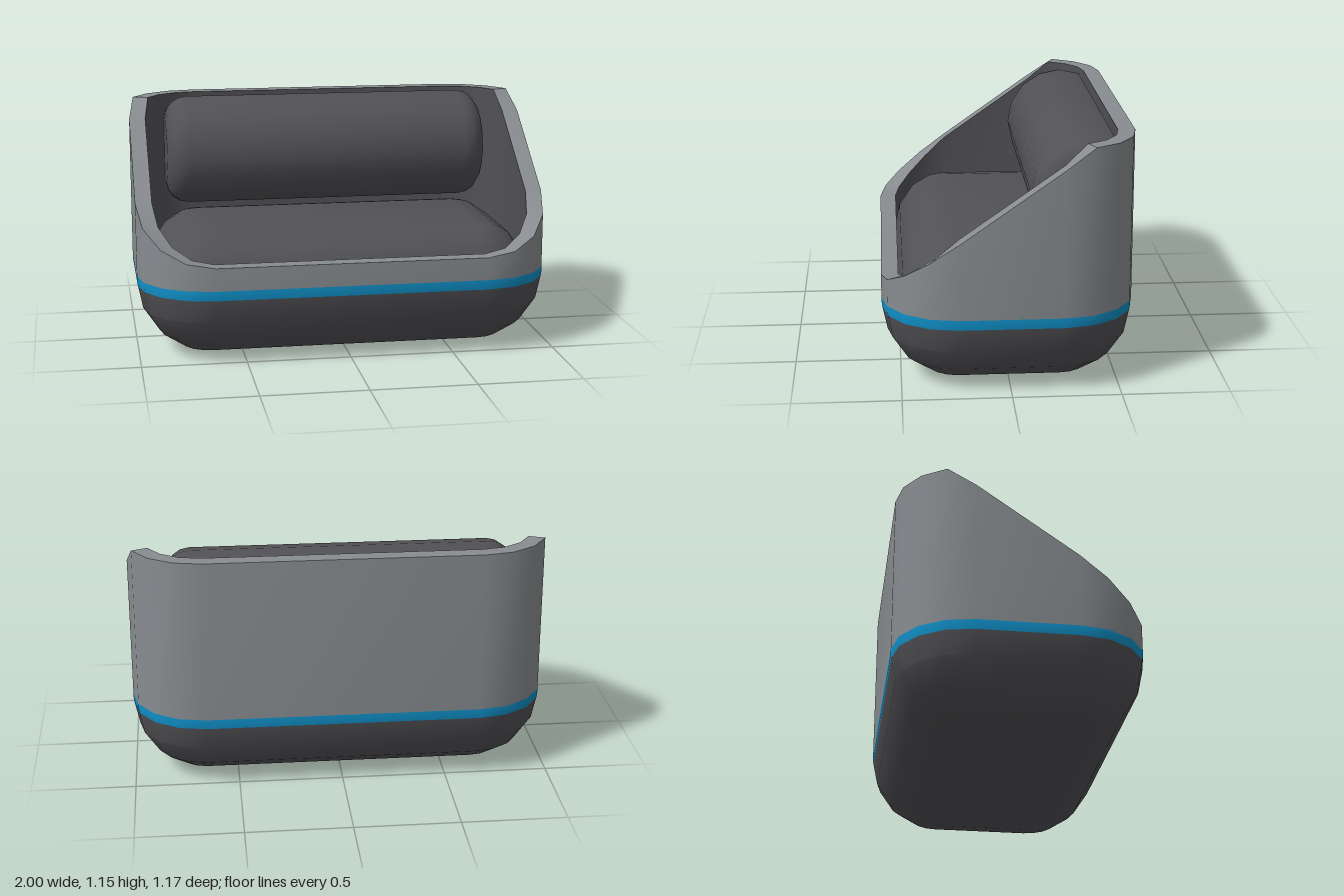
import * as THREE from 'three';
import { toCreasedNormals } from 'three/addons/utils/BufferGeometryUtils.js';

const HX = 1, HZ = 0.585, R = 0.35, STEPS = 4;
const WALL = 0.08, TOP = 1.155;

const shellGrey = new THREE.MeshStandardMaterial({ name: 'shell grey', color: 0x888c90 });
const darkFabric = new THREE.MeshStandardMaterial({ name: 'dark fabric', color: 0x525155 });
const stripeBlue = new THREE.MeshStandardMaterial({ name: 'stripe blue', color: 0x1090c8 });

// Rounded rectangle in plan, pulled in by inset, at height y (number or list per point)
function ring(inset, y) {
  const points = [];
  const r = Math.max(R - inset, 0);
  for (let c = 0; c < 4; c++) {
    const sx = c === 0 || c === 3 ? 1 : -1;
    const sz = c < 2 ? 1 : -1;
    for (let s = 0; s <= STEPS; s++) {
      const a = (c + s / STEPS) * Math.PI / 2;
      const h = Array.isArray(y) ? y[points.length] : y;
      points.push(new THREE.Vector3(sx * (HX - R) + r * Math.cos(a), h, sz * (HZ - R) + r * Math.sin(a)));
    }
  }
  return points;
}

// All points at the centre, closing a loft with a cap
const centre = (y) => ring(R, y).map(() => new THREE.Vector3(0, y, 0));

// Skin through successive rings; bottom to top faces outwards
function loft(rings) {
  const n = rings[0].length;
  const index = [];
  for (let k = 0; k < rings.length - 1; k++) {
    for (let i = 0; i < n; i++) {
      const j = (i + 1) % n;
      const a = k * n + i, b = k * n + j;
      index.push(a, a + n, b, b, a + n, b + n);
    }
  }
  const g = new THREE.BufferGeometry().setFromPoints(rings.flat());
  g.setIndex(index);
  return toCreasedNormals(g, 0.5);
}

export function createModel() {
  const model = new THREE.Group();
  model.name = 'sofa';
  const add = (name, geometry, material) => {
    const mesh = new THREE.Mesh(geometry, material);
    mesh.name = name;
    model.add(mesh);
  };

  // Rounded base
  const base = [centre(0)];
  for (let s = 0; s < STEPS; s++) {
    const a = s / STEPS * Math.PI / 2;
    base.push(ring(R * (1 - Math.sin(a)), R * (1 - Math.cos(a))));
  }
  base.push(ring(0.003, 0.328));
  add('base', loft(base), darkFabric);

  // Stripe around the waist
  add('stripe', loft([ring(0.003, 0.328), ring(0, 0.35), ring(0, 0.375)]), stripeBlue);

  // Shell with arms sloping from the high back to the low front
  const rimHeights = ring(0, 0).map((p) => Math.min(TOP, 0.485 + (HZ - p.z) * 0.703));
  add('shell', loft([ring(0, 0.375), ring(0, rimHeights)]), shellGrey);
  add('rim', loft([ring(0, rimHeights), ring(WALL, rimHeights)]), shellGrey);
  add('lining', loft([ring(WALL, rimHeights), ring(WALL, 0.3)]), darkFabric);

  // Seat cushion with a rounded edge filling the shell
  const seat = [];
  const seatR = R - WALL;
  for (let s = 0; s <= STEPS; s++) {
    const a = s / STEPS * Math.PI / 2;
    seat.push(ring(WALL + seatR * (1 - Math.cos(a)), 0.6 - seatR * (1 - Math.sin(a))));
  }
  seat.push(centre(0.6));
  add('seatCushion', loft(seat), darkFabric);

  // Backrest roll with softened ends, flattened against the back wall
  const rollR = 0.275, endR = 0.11, half = 0.815;
  const profile = [new THREE.Vector2(0, -half)];
  for (const side of [-1, 1]) {
    for (let s = 0; s <= STEPS; s++) {
      const a = (side < 0 ? s : STEPS - s) / STEPS * Math.PI / 2;
      profile.push(new THREE.Vector2(rollR - endR * (1 - Math.sin(a)), side * (half - endR * (1 - Math.cos(a)))));
    }
  }
  profile.push(new THREE.Vector2(0, half));
  const roll = new THREE.LatheGeometry(profile, 16);
  roll.rotateZ(-Math.PI / 2);
  roll.translate(0, 0.876, -0.38);
  const pos = roll.attributes.position;
  for (let i = 0; i < pos.count; i++) pos.setZ(i, Math.max(pos.getZ(i), -0.5));
  add('backrest', toCreasedNormals(roll, 0.6), darkFabric);

  return model;
}
